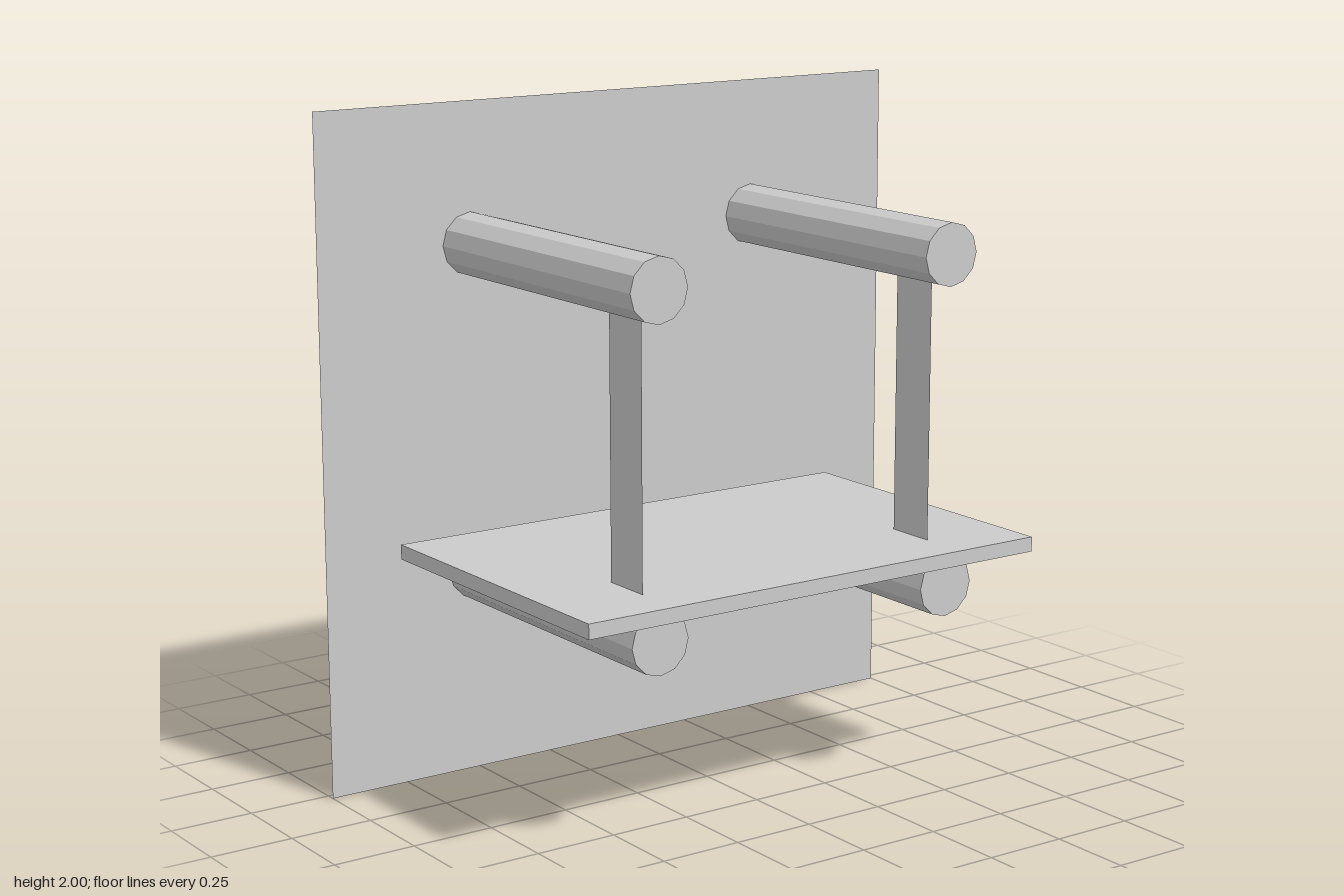
import * as THREE from 'three';

export function createModel() {
  const group = new THREE.Group();
  const solid = new THREE.MeshStandardMaterial({ color: 0xcccccc, flatShading: true });
  const thin = new THREE.MeshStandardMaterial({ color: 0xcccccc, side: THREE.DoubleSide });

  const add = (name, geometry, material, x, y, z) => {
    const mesh = new THREE.Mesh(geometry, material);
    mesh.name = name;
    mesh.position.set(x, y, z);
    group.add(mesh);
    return mesh;
  };

  const upperY = 1.587, lowerY = 0.62;

  // Thin upright wall panel, facing sideways
  add('wallPanel', new THREE.PlaneGeometry(2, 2).rotateY(Math.PI / 2), thin, -0.473, 1, 0);

  // Shelf resting on the lower pegs
  add('shelf', new THREE.BoxGeometry(0.99, 0.044, 1.545), solid, 0.056, 0.715, 0);

  // Pegs pass through the wall; flat straps hang from the upper pair
  const pegGeometry = new THREE.CylinderGeometry(0.0925, 0.0925, 1.043, 12).rotateZ(Math.PI / 2);
  const strapGeometry = new THREE.PlaneGeometry(0.155, upperY - lowerY);
  for (const [side, z] of [['front', 0.5], ['back', -0.5]]) {
    add(side + 'UpperPeg', pegGeometry, solid, -0.035, upperY, z);
    add(side + 'LowerPeg', pegGeometry, solid, -0.035, lowerY, z);
    add(side + 'Strap', strapGeometry, thin, 0.325, (upperY + lowerY) / 2, z);
  }
  return group;
}
